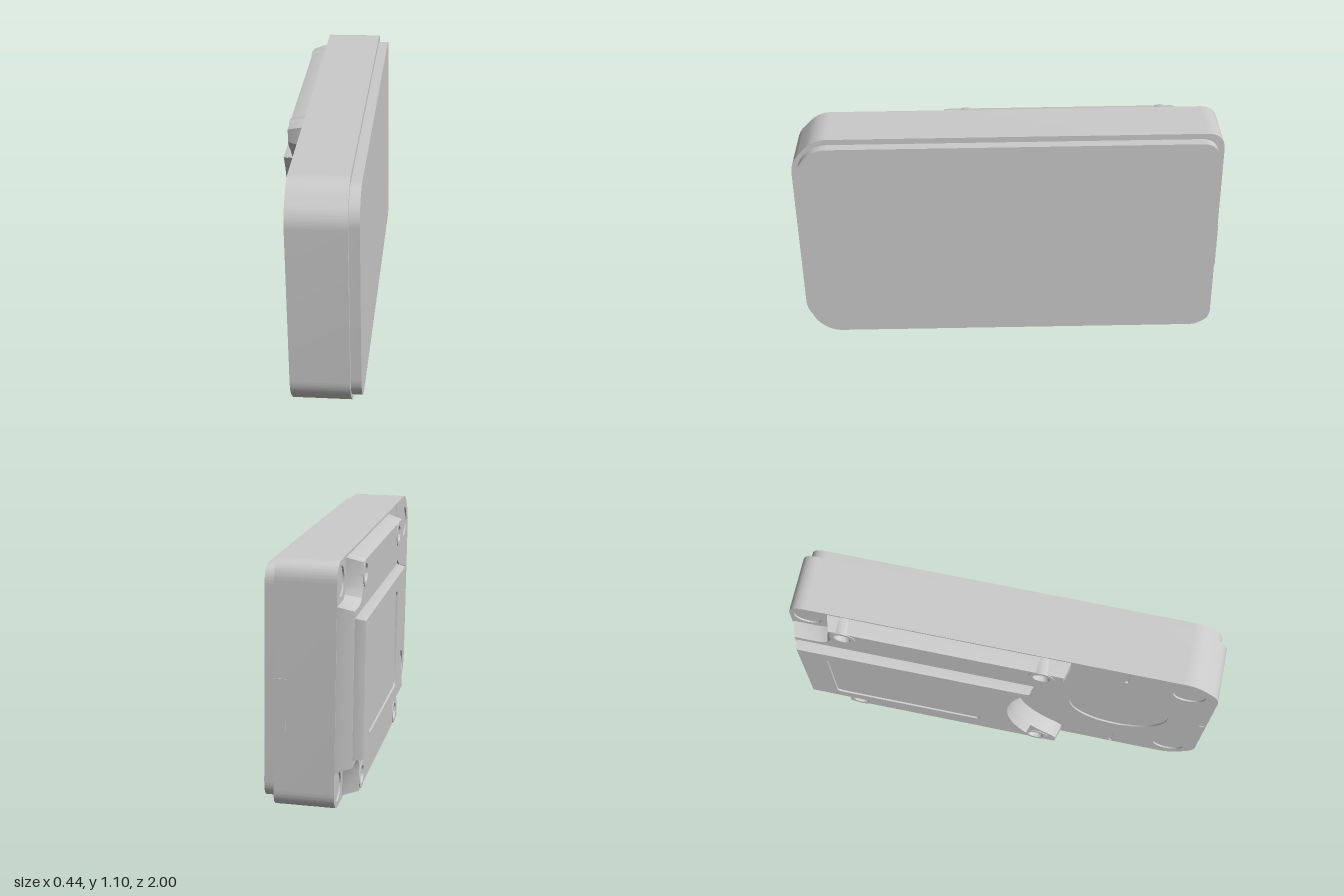
import * as THREE from 'three';
import { toCreasedNormals } from 'three/addons/utils/BufferGeometryUtils.js';

const material = new THREE.MeshStandardMaterial({ color: 0xcccccc });

// Polygon with rounded corners; each point is [x, y, cut length at the corner]
function rounded(points, path = new THREE.Shape()) {
  const n = points.length;
  points.forEach(([x, y, cut = 0], i) => {
    const p = new THREE.Vector2(x, y);
    const toward = ([qx, qy]) => new THREE.Vector2(qx, qy).sub(p).setLength(cut).add(p);
    const a = toward(points[(i + n - 1) % n]);
    const b = toward(points[(i + 1) % n]);
    if (i === 0) path.moveTo(a.x, a.y); else path.lineTo(a.x, a.y);
    if (cut) path.quadraticCurveTo(x, y, b.x, b.y);
  });
  path.closePath();
  return path;
}

const rect = (x0, x1, y0, y1, r = 0, path) =>
  rounded([[x0, y0, r], [x1, y0, r], [x1, y1, r], [x0, y1, r]], path);
const circle = (x, y, r) => new THREE.Path().absarc(x, y, r, 0, Math.PI * 2);

// Case outline: chamfered corners at one end, rounded ones at the other
function outline(inset) {
  const e = 0.995 - inset, h = 0.54 - inset;
  return rounded([
    [e, -0.425, 0.06], [0.88, -h, 0.06], [-e, -h, 0.085],
    [-e, h, 0.085], [0.88, h, 0.06], [e, 0.425, 0.06],
  ]);
}

// Plateau outline: a concave arc at the front, then the given corners
function scooped(radius, halfHeight, corners) {
  const t = Math.asin(halfHeight / radius);
  const shape = new THREE.Shape();
  shape.absarc(0.57, 0, radius, Math.PI - t, Math.PI + t, false);
  corners.forEach(([x, y]) => shape.lineTo(x, y));
  [...corners].reverse().forEach(([x, y]) => shape.lineTo(x, -y));
  shape.closePath();
  return shape;
}

export function createModel() {
  const model = new THREE.Group();
  model.name = 'deviceCase';
  // Local x runs along the case, local z runs out of its back
  const frame = new THREE.Group();
  frame.name = 'caseParts';
  frame.rotation.y = -Math.PI / 2;

  function add(name, geometry, z = 0) {
    const mesh = new THREE.Mesh(toCreasedNormals(geometry, 0.5), material);
    mesh.name = name;
    mesh.position.z = z;
    frame.add(mesh);
    return mesh;
  }
  const slab = (name, shape, z0, z1) => add(name, new THREE.ExtrudeGeometry(shape,
    { depth: z1 - z0, bevelEnabled: false, curveSegments: 24 }), z0);
  // Block with sloping sides; its mirrored lower half is buried
  const taper = (name, shape, z0, z1, slope) => add(name, new THREE.ExtrudeGeometry(shape, {
    depth: 0.002, bevelThickness: z1 - z0, bevelSize: slope, bevelOffset: -slope,
    bevelSegments: 1, curveSegments: 40,
  }), z0 - 0.002);

  // Main case, front plate and end tab
  slab('frontPlate', outline(0.027), -0.21, -0.16);
  slab('caseBody', outline(0), -0.163, 0.092);
  slab('endTab', rect(-0.998, -0.9, -0.19, 0.04), -0.163, -0.11);

  // Back skin with shallow recesses for disc, feet and slots
  const skin = outline(0);
  skin.holes.push(circle(0.57, 0, 0.24));
  skin.holes.push(rect(0.965, 0.99, -0.006, 0.006, 0, new THREE.Path()));
  for (const s of [-1, 1]) {
    skin.holes.push(circle(0.86, s * 0.4, 0.075), circle(-0.91, s * 0.45, 0.065));
    const [y0, y1] = s > 0 ? [0.41, 0.53] : [-0.53, -0.41];
    skin.holes.push(rect(0.563, 0.577, y0, y1, 0, new THREE.Path()));
  }
  slab('backSkin', skin, 0.092, 0.1);

  // Lower plateau, notched at the rear corners and holed for the screws
  const low = scooped(0.495, 0.4, [
    [0.31, -0.44], [0.31, -0.53], [-0.81, -0.53], [-0.81, -0.41],
    [-0.825, -0.375], [-0.86, -0.36], [-0.99, -0.36],
  ]);
  const bosses = [];
  for (const x of [-0.73, 0.19]) for (const y of [-0.455, 0.455]) bosses.push([x, y]);
  bosses.forEach(([x, y]) => low.holes.push(circle(x, y, 0.03)));
  taper('lowerPlateau', low, 0.1, 0.17, 0.02);

  // Screw bosses
  const profile = [[0.028, 0], [0.078, 0], [0.06, 0.073], [0.04, 0.073], [0.028, 0.04], [0.028, 0]]
    .map(([r, z]) => new THREE.Vector2(r, z));
  for (const [x, y] of bosses) {
    const boss = add('screwBoss', new THREE.LatheGeometry(profile, 32).rotateX(Math.PI / 2), 0.1);
    boss.position.x = x;
    boss.position.y = y;
  }

  // Upper plateau with its recessed label window
  const high = scooped(0.515, 0.31, [[-0.965, -0.31]]);
  high.holes.push(rect(-0.81, -0.1, -0.225, 0.225, 0.02, new THREE.Path()));
  taper('upperPlateau', high, 0.17, 0.215, 0.01);
  slab('windowPanel', rect(-0.84, -0.07, -0.255, 0.255), 0.16, 0.207);

  // The case rests slightly tilted
  model.add(frame);
  model.rotation.set(0.01, 0, 0.0175);
  model.position.y = 0.553;
  const root = new THREE.Group();
  root.name = 'device';
  root.add(model);
  return root;
}
